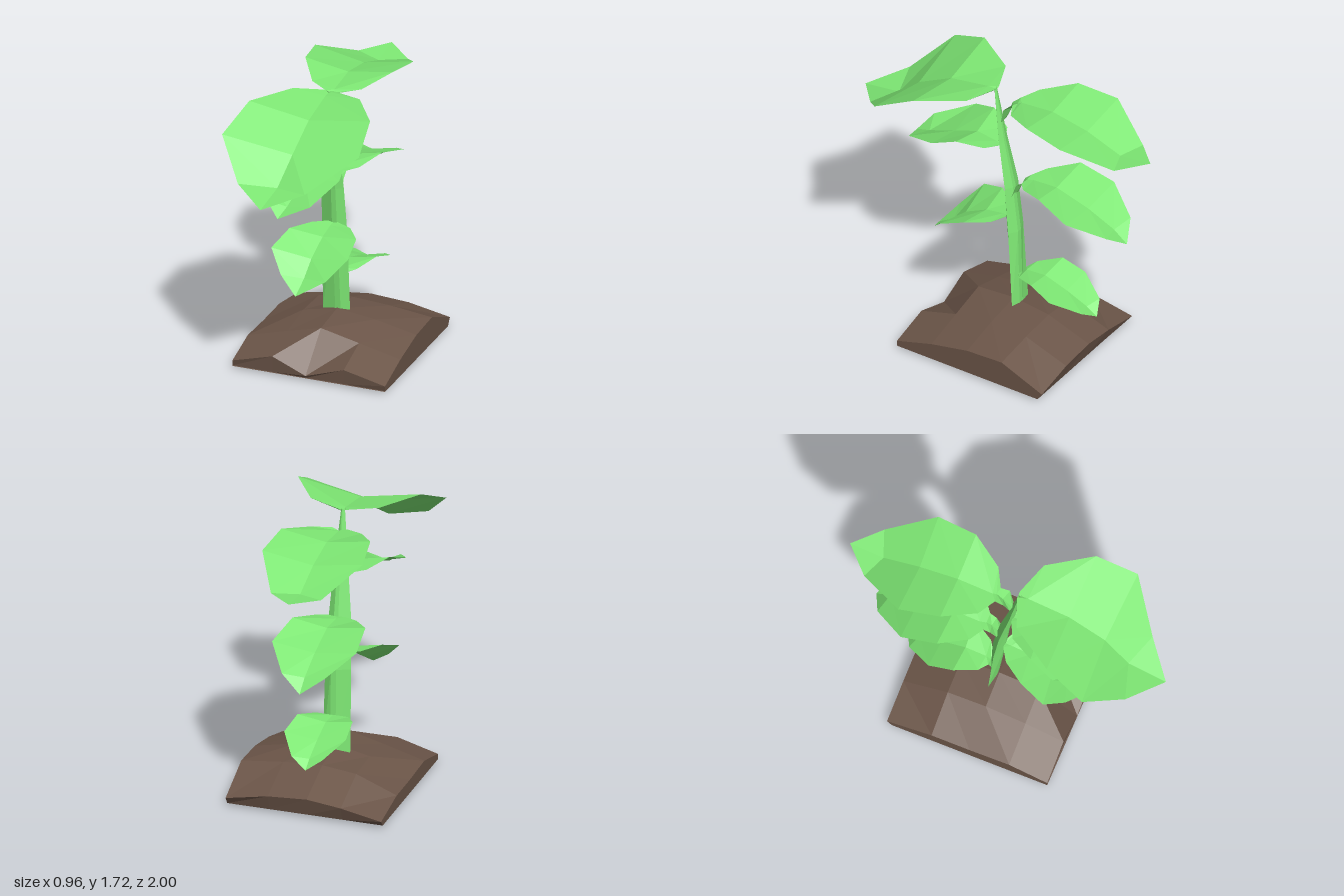
import * as THREE from 'three';

const leafMat = new THREE.MeshStandardMaterial({ color: 0x7ee874, flatShading: true, side: THREE.DoubleSide });
const stemMat = new THREE.MeshStandardMaterial({ color: 0x7ee874, flatShading: true });
const soilMat = new THREE.MeshStandardMaterial({ color: 0x6b5548, flatShading: true });

// Skins a surface through equal-length rows of [x, y, z] points
function loft(name, rows, material, closed = false) {
  const n = rows[0].length;
  const index = [];
  for (let i = 0; i < rows.length - 1; i++) {
    for (let j = 0; j < (closed ? n : n - 1); j++) {
      const k = (j + 1) % n;
      const a = i * n + j, b = i * n + k, c = (i + 1) * n + k, d = (i + 1) * n + j;
      index.push(a, b, c, a, c, d);
    }
  }
  const geo = new THREE.BufferGeometry();
  geo.setAttribute('position', new THREE.Float32BufferAttribute(rows.flat(2), 3));
  geo.setIndex(index);
  geo.computeVertexNormals();
  const mesh = new THREE.Mesh(geo, material);
  mesh.name = name;
  return mesh;
}

// Leaf folded along its midrib; station = [left x, right x, edge z, edge y, mid x, mid z, mid y]
function leaf(name, stations, tip) {
  const rows = stations.map(([l, r, ze, ye, xm, zm, ym]) => [[l, ye, ze], [xm, ym, zm], [r, ye, ze]]);
  rows.push([tip, tip, tip]);
  return loft(name, rows, leafMat);
}

// Soil heap: a height grid wrapped down to a flat base
function mound() {
  const base = 0.015;
  const xs = [-0.48, -0.23, -0.02, 0.22, 0.48];
  const zs = [0.42, 0.18, -0.07, -0.31, -0.59];
  const heights = [
    [0.05, 0.12, 0.03, 0.11, 0.05],
    [0.11, 0.18, 0.235, 0.18, 0.12],
    [0.1, 0.21, 0.255, 0.225, 0.17],
    [0.1, 0.2, 0.225, 0.21, 0.18],
    [0.05, 0.1, 0.125, 0.11, 0.06],
  ];
  const flat = (z) => [-0.48, ...xs, 0.48].map((x) => [x, base, z]);
  const rows = zs.map((z, i) => [
    [-0.48, base, Math.max(z, -0.56)],
    ...xs.map((x, j) => [x, heights[i][j], z]),
    [0.48, base, Math.max(z, -0.56)],
  ]);
  return loft('soilMound', [flat(0.41), ...rows, flat(-0.56)], soilMat, true);
}

// Flattened six-sided stalk; section = [y, centre x, centre z, half width, half depth]
function stem() {
  const sections = [
    [0, -0.03, -0.12, 0, 0],
    [0.02, -0.035, -0.115, 0.07, 0.015],
    [0.24, -0.035, -0.1, 0.085, 0.02],
    [0.75, -0.035, -0.07, 0.08, 0.037],
    [1.05, -0.035, -0.04, 0.07, 0.03],
    [1.35, -0.025, 0.01, 0.045, 0.02],
    [1.71, -0.02, 0.06, 0.012, 0.006],
  ];
  const ring = [[1, 0], [0.4, -1], [0, -1], [-1, 0], [0, 1], [0.4, 1]];
  const rows = sections.map(([y, x, z, w, d]) => ring.map(([u, v]) => [x + u * w, y, z + v * d]));
  return loft('stem', rows, stemMat, true);
}

export function createModel() {
  const group = new THREE.Group();
  group.name = 'pottedSprout';
  group.add(mound(), stem());

  // Front leaves
  group.add(leaf('frontLeafTop', [
    [-0.04, 0, 0.05, 1.71, -0.02, 0.05, 1.70],
    [-0.22, 0.2, 0.12, 1.72, -0.02, 0.11, 1.70],
    [-0.39, 0.37, 0.38, 1.72, -0.02, 0.37, 1.655],
    [-0.46, 0.4, 0.63, 1.6, -0.03, 0.6, 1.53],
    [-0.28, 0.14, 0.83, 1.4, -0.06, 0.76, 1.38],
  ], [-0.07, 1.34, 1.0]));
  group.add(leaf('frontLeafMiddle', [
    [-0.06, 0, 0.02, 1.32, -0.03, 0.02, 1.315],
    [-0.16, 0.09, 0.07, 1.335, -0.03, 0.06, 1.32],
    [-0.25, 0.16, 0.22, 1.365, -0.04, 0.2, 1.33],
    [-0.3, 0.175, 0.38, 1.3, -0.05, 0.36, 1.265],
    [-0.19, 0.08, 0.6, 1.21, -0.08, 0.56, 1.17],
  ], [-0.1, 1.13, 0.66]));
  group.add(leaf('frontLeafBottom', [
    [-0.06, 0, -0.03, 0.83, -0.03, -0.03, 0.825],
    [-0.14, 0.1, 0.02, 0.83, -0.03, 0.01, 0.82],
    [-0.23, 0.19, 0.15, 0.83, -0.03, 0.13, 0.8],
    [-0.28, 0.2, 0.31, 0.765, -0.04, 0.28, 0.72],
    [-0.18, 0.1, 0.41, 0.65, -0.05, 0.37, 0.63],
  ], [-0.06, 0.56, 0.48]));

  // Back leaves, each rising from the stem on a narrow stalk
  group.add(leaf('backLeafTop', [
    [-0.06, 0, 0.01, 1.49, -0.03, 0.015, 1.48],
    [-0.08, 0.02, -0.02, 1.6, -0.04, -0.04, 1.59],
    [-0.09, 0, -0.07, 1.645, -0.04, -0.08, 1.635],
    [-0.2, 0.11, -0.13, 1.66, -0.05, -0.1, 1.645],
    [-0.32, 0.23, -0.32, 1.71, -0.05, -0.32, 1.665],
    [-0.36, 0.26, -0.57, 1.675, -0.05, -0.56, 1.62],
    [-0.2, 0.11, -0.85, 1.545, -0.05, -0.79, 1.535],
  ], [-0.05, 1.56, -1.0]));
  group.add(leaf('backLeafMiddle', [
    [-0.07, 0.01, -0.07, 0.99, -0.03, -0.06, 0.97],
    [-0.09, 0.01, -0.1, 1.08, -0.04, -0.11, 1.07],
    [-0.1, 0.01, -0.14, 1.115, -0.05, -0.14, 1.11],
    [-0.19, 0.07, -0.19, 1.125, -0.06, -0.18, 1.115],
    [-0.3, 0.15, -0.35, 1.165, -0.06, -0.34, 1.125],
    [-0.32, 0.2, -0.57, 1.1, -0.06, -0.56, 1.06],
    [-0.19, 0.07, -0.77, 1.0, -0.06, -0.74, 0.98],
  ], [-0.06, 0.91, -0.83]));
  group.add(leaf('backLeafBottom', [
    [-0.06, 0, -0.1, 0.41, -0.03, -0.1, 0.39],
    [-0.07, 0.01, -0.12, 0.465, -0.03, -0.12, 0.455],
    [-0.13, 0.07, -0.16, 0.485, -0.03, -0.15, 0.48],
    [-0.2, 0.14, -0.29, 0.52, -0.03, -0.28, 0.49],
    [-0.21, 0.17, -0.44, 0.47, -0.03, -0.43, 0.44],
    [-0.12, 0.07, -0.6, 0.395, -0.03, -0.57, 0.38],
  ], [-0.03, 0.335, -0.64]));
  return group;
}
